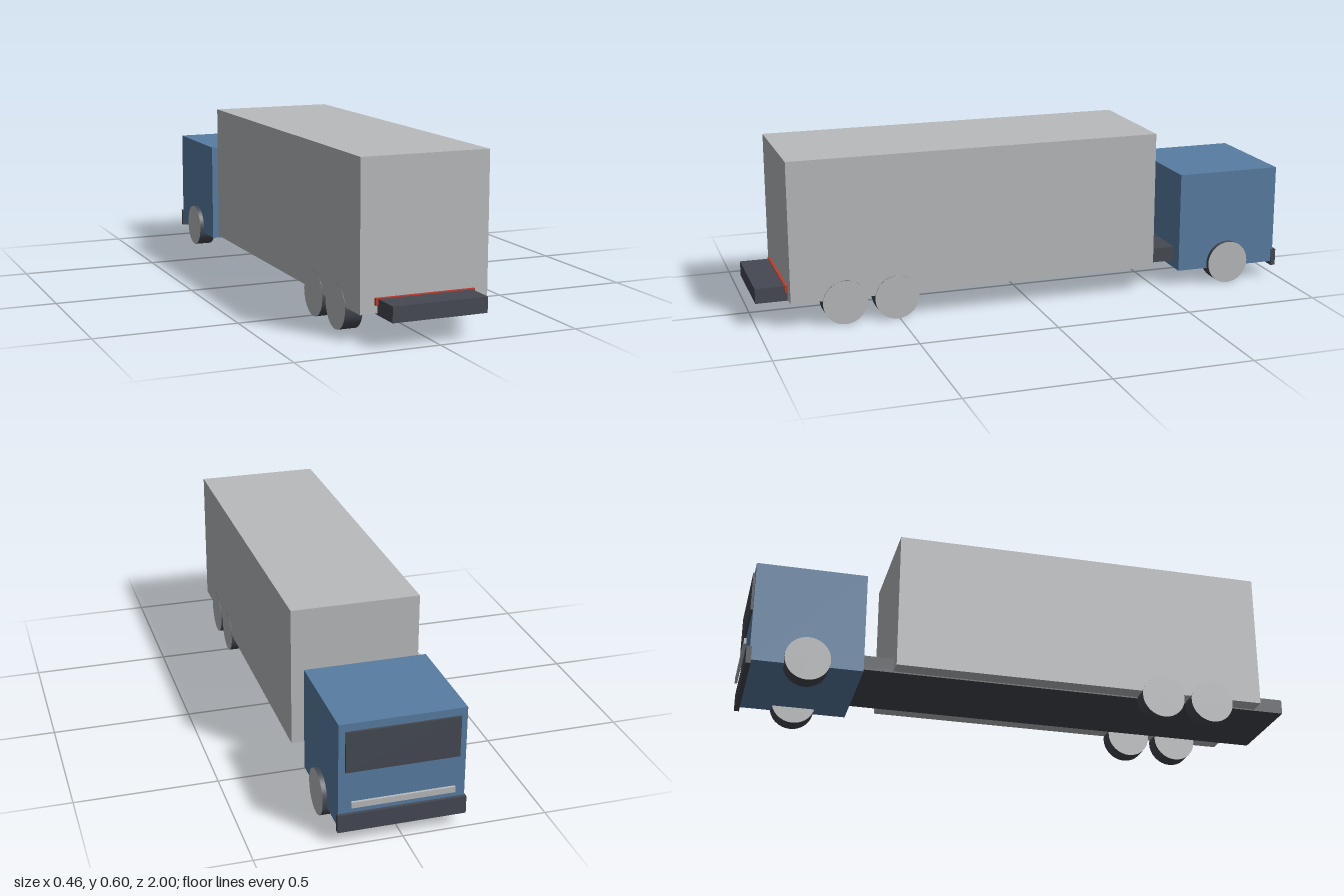
import * as THREE from 'three';

const makeMaterial = (name, color) => {
  const m = new THREE.MeshStandardMaterial({ color });
  m.name = name;
  return m;
};

export function createModel() {
  const truck = new THREE.Group();
  truck.name = 'boxTruck';

  const blue = makeMaterial('cabBlue', 0x587da2);
  const grey = makeMaterial('lightGrey', 0xb8babc);
  const dark = makeMaterial('darkGrey', 0x454952);
  const red = makeMaterial('lampRed', 0xc0392b);

  // Box centred on x, given its width and its y and z ranges
  const addBox = (name, material, width, y0, y1, z0, z1) => {
    const mesh = new THREE.Mesh(new THREE.BoxGeometry(width, y1 - y0, z1 - z0), material);
    mesh.name = name;
    mesh.position.set(0, (y0 + y1) / 2, (z0 + z1) / 2);
    truck.add(mesh);
  };

  // Frame and cargo body
  addBox('chassis', dark, 0.337, 0.088, 0.142, -0.9, 1);
  addBox('cargoBox', grey, 0.459, 0.093, 0.6, -0.475, 0.887);
  addBox('tailLampBar', red, 0.356, 0.121, 0.145, 0.882, 0.897);

  // Cab, which faces -z
  addBox('cab', blue, 0.43, 0.06, 0.432, -0.98, -0.587);
  addBox('windshield', dark, 0.385, 0.26, 0.405, -0.988, -0.979);
  addBox('frontBumper', dark, 0.438, 0.045, 0.108, -0.992, -0.974);
  addBox('grilleStrip', grey, 0.352, 0.135, 0.156, -1, -0.991);

  // Wheels: dark tread, light discs on both ends
  const wheelGeometry = new THREE.CylinderGeometry(0.08, 0.08, 0.063, 32);
  wheelGeometry.rotateZ(Math.PI / 2);
  const axles = { front: -0.783, middle: 0.508, rear: 0.695 };
  for (const [axle, z] of Object.entries(axles)) {
    for (const side of [1, -1]) {
      const wheel = new THREE.Mesh(wheelGeometry, [dark, grey, grey]);
      wheel.name = `${axle}${side > 0 ? 'Left' : 'Right'}Wheel`;
      wheel.position.set(side * 0.1995, 0.08, z);
      truck.add(wheel);
    }
  }

  return truck;
}
